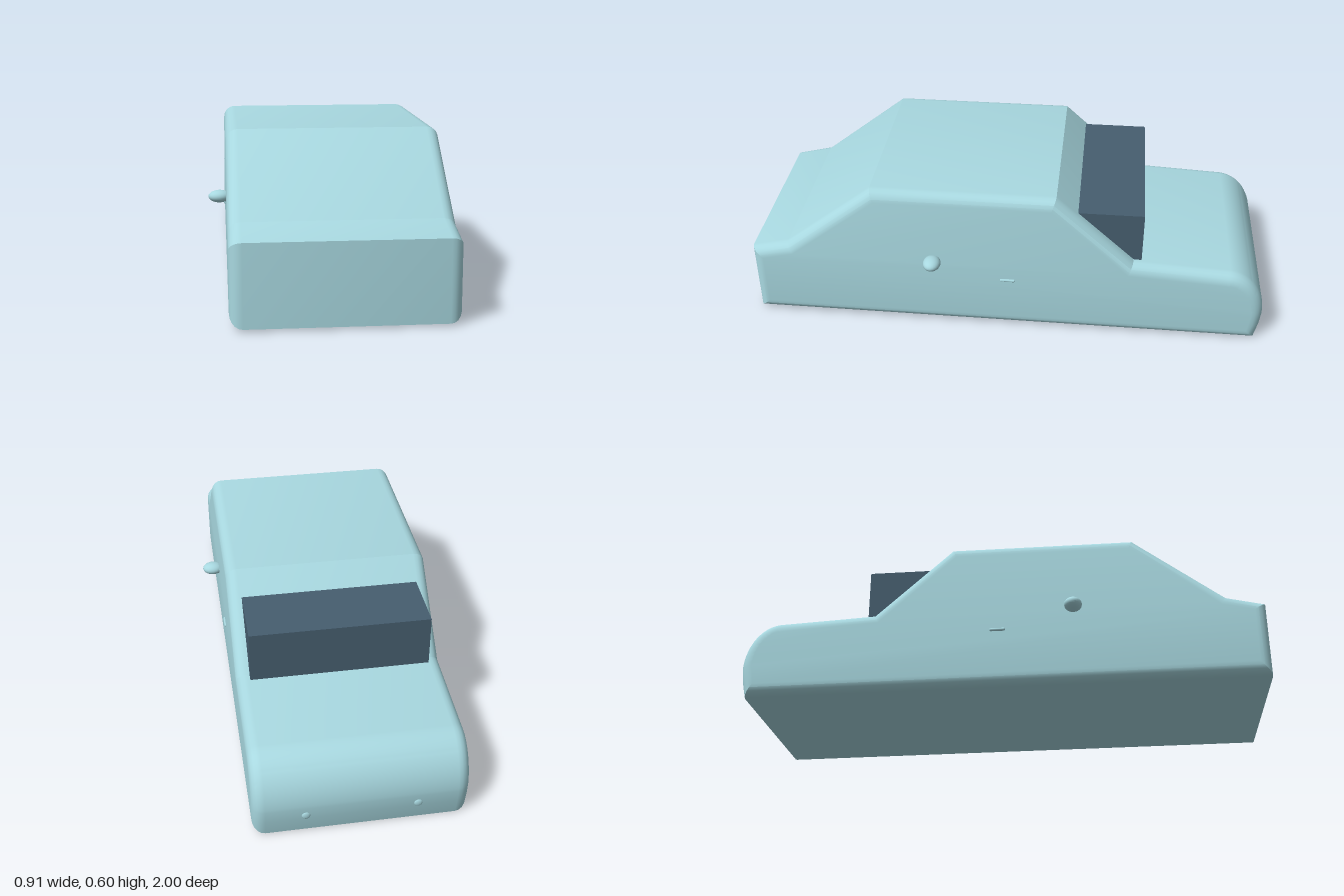
import * as THREE from 'three';
import { toCreasedNormals } from 'three/addons/utils/BufferGeometryUtils.js';

const bodyPaint = new THREE.MeshStandardMaterial({ color: 0xa8d8e0 });
bodyPaint.name = 'pale blue paint';
const darkPaint = new THREE.MeshStandardMaterial({ color: 0x465e6f });
darkPaint.name = 'dark slate';

const HALF_WIDTH = 0.388;
const BEVEL = 0.045;

function addMesh(parent, name, geometry, material, x, y, z) {
  const mesh = new THREE.Mesh(geometry, material);
  mesh.name = name;
  mesh.position.set(x, y, z);
  parent.add(mesh);
  return mesh;
}

// Side profile (length, height) extruded across the width with rounded edges
function bodyGeometry() {
  const shape = new THREE.Shape();
  shape.moveTo(-0.98, 0.002);
  shape.lineTo(1, 0.01);
  shape.lineTo(1, 0.3);
  shape.lineTo(0.855, 0.335);
  shape.lineTo(0.515, 0.6);
  shape.lineTo(-0.19, 0.6);
  shape.lineTo(-0.49, 0.326);
  shape.lineTo(-0.85, 0.308);
  // rounded tail
  shape.absellipse(-0.85, 0.12, 0.15, 0.188, Math.PI / 2, Math.PI, false);
  shape.lineTo(-0.995, 0.07);
  shape.closePath();

  const depth = 2 * (HALF_WIDTH - BEVEL);
  const geometry = new THREE.ExtrudeGeometry(shape, {
    depth,
    curveSegments: 12,
    bevelEnabled: true,
    bevelThickness: BEVEL,
    bevelSize: BEVEL,
    bevelOffset: -BEVEL,
    bevelSegments: 5,
  });
  geometry.translate(0, 0, -depth / 2);
  geometry.rotateY(-Math.PI / 2);
  return toCreasedNormals(geometry, 0.35);
}

export function createModel() {
  const car = new THREE.Group();
  car.name = 'car';

  addMesh(car, 'body', bodyGeometry(), bodyPaint, 0, 0, 0);

  // Box set into the rear slope
  addMesh(car, 'rearBox', new THREE.BoxGeometry(0.675, 0.205, 0.25), darkPaint, -0.002, 0.4225, -0.396);

  for (const side of [1, -1]) {
    const prefix = side > 0 ? 'left' : 'right';

    const mirror = addMesh(car, prefix + 'Mirror', new THREE.SphereGeometry(1, 20, 14), bodyPaint, side * 0.412, 0.308, 0.28);
    mirror.scale.set(0.043, 0.024, 0.034);

    // Slim door handle
    const handle = addMesh(car, prefix + 'DoorHandle', new THREE.CapsuleGeometry(0.006, 0.048, 4, 10), bodyPaint, side * 0.389, 0.228, -0.01);
    handle.rotation.x = Math.PI / 2;

    // Small round stud on the tail
    const stud = addMesh(car, prefix + 'TailStud', new THREE.SphereGeometry(0.016, 12, 8), bodyPaint, side * 0.2, 0.085, -0.996);
    stud.scale.z = 0.4;
  }

  return car;
}
